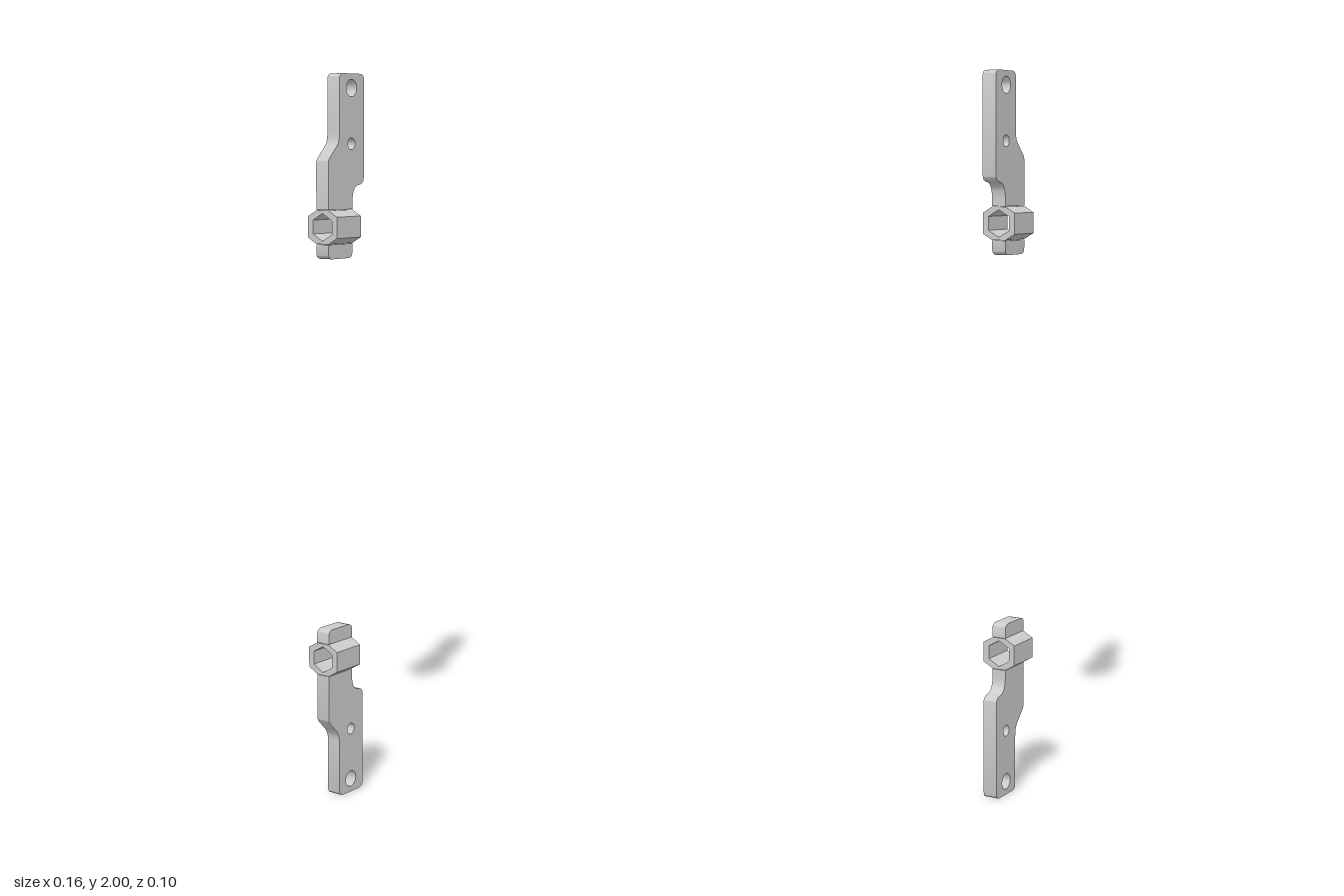
import * as THREE from 'three';
import { toCreasedNormals } from 'three/addons/utils/BufferGeometryUtils.js';

const material = new THREE.MeshStandardMaterial({ color: 0xcccccc });
const THICK = 0.041;               // plate thickness
const LEFT = -0.078, RIGHT = 0.077; // overall plate sides
const STEM_LEFT = -0.03, KNUCKLE_RIGHT = 0.027;
const PIN_Y = 0.595;               // hexagonal bore height above the mid-plane

function extruded(name, shape, depth) {
  const raw = new THREE.ExtrudeGeometry(shape, { depth, bevelEnabled: false, curveSegments: 8 });
  raw.translate(0, 0, -depth / 2);
  const mesh = new THREE.Mesh(toCreasedNormals(raw, 0.6), material);
  mesh.name = name;
  return mesh;
}

function roundHole(x, y, r) {
  const hole = new THREE.Path();
  hole.absarc(x, y, r, 0, Math.PI * 2, true);
  return hole;
}

// Offset plate with a stepped outline and two screw holes
function createPlate() {
  const r = 0.018, base = PIN_Y + 0.046;
  const s = new THREE.Shape();
  s.moveTo(LEFT, base);
  s.lineTo(KNUCKLE_RIGHT, base);
  s.lineTo(KNUCKLE_RIGHT, 0.665);
  s.quadraticCurveTo(KNUCKLE_RIGHT + 0.002, 0.7, 0.052, 0.705);
  s.quadraticCurveTo(RIGHT, 0.707, RIGHT, 0.725);
  s.lineTo(RIGHT, 1 - r);
  s.quadraticCurveTo(RIGHT, 1, RIGHT - r, 1);
  s.lineTo(STEM_LEFT + r, 1);
  s.quadraticCurveTo(STEM_LEFT, 1, STEM_LEFT, 1 - r);
  s.lineTo(STEM_LEFT, 0.845);
  s.quadraticCurveTo(STEM_LEFT, 0.82, -0.042, 0.808);
  s.lineTo(-0.07, 0.78);
  s.quadraticCurveTo(LEFT, 0.772, LEFT, 0.762);
  s.closePath();
  s.holes.push(roundHole(0.022, 0.962, 0.023), roundHole(0.022, 0.815, 0.016));
  return extruded('plate', s, THICK);
}

// Rounded tongue on the far side of the bore
function createTongue() {
  const r = 0.018, top = PIN_Y - 0.046, low = 0.51;
  const s = new THREE.Shape();
  s.moveTo(LEFT, top);
  s.lineTo(LEFT, low + r);
  s.quadraticCurveTo(LEFT, low, LEFT + r, low);
  s.lineTo(KNUCKLE_RIGHT - r, low);
  s.quadraticCurveTo(KNUCKLE_RIGHT, low, KNUCKLE_RIGHT, low + r);
  s.lineTo(KNUCKLE_RIGHT, top);
  s.closePath();
  return extruded('tongue', s, THICK);
}

// Hexagonal sleeve with a hexagonal bore running along x
function createSleeve() {
  const hexagon = (radius) => Array.from({ length: 6 }, (_, i) => {
    const a = Math.PI / 2 + (i * Math.PI) / 3;
    return new THREE.Vector2(Math.cos(a) * radius, Math.sin(a) * radius);
  });
  // The outer hexagon is cut where it meets the flat plate
  const h = THICK / 2, half = 0.049, side = half / Math.sqrt(3);
  const cut = side + (half - h) / Math.sqrt(3);
  const outline = [[h, -cut], [half, -side], [half, side], [h, cut],
    [-h, cut], [-half, side], [-half, -side], [-h, -cut]];
  const s = new THREE.Shape(outline.map(([x, y]) => new THREE.Vector2(x, y)));
  s.holes.push(new THREE.Path(hexagon(0.037)));
  const sleeve = extruded('hexSleeve', s, KNUCKLE_RIGHT - LEFT);
  sleeve.geometry.rotateY(Math.PI / 2);
  sleeve.position.set((LEFT + KNUCKLE_RIGHT) / 2, PIN_Y, 0);
  return sleeve;
}

function createBracket(name) {
  const bracket = new THREE.Group();
  bracket.name = name;
  bracket.add(createPlate(), createTongue(), createSleeve());
  bracket.position.y = 1;
  return bracket;
}

export function createModel() {
  const model = new THREE.Group();
  model.name = 'bracketPair';
  const upper = createBracket('upperBracket');
  const lower = createBracket('lowerBracket');
  lower.rotation.x = Math.PI; // turned over to mirror the upper one
  model.add(upper, lower);
  return model;
}
